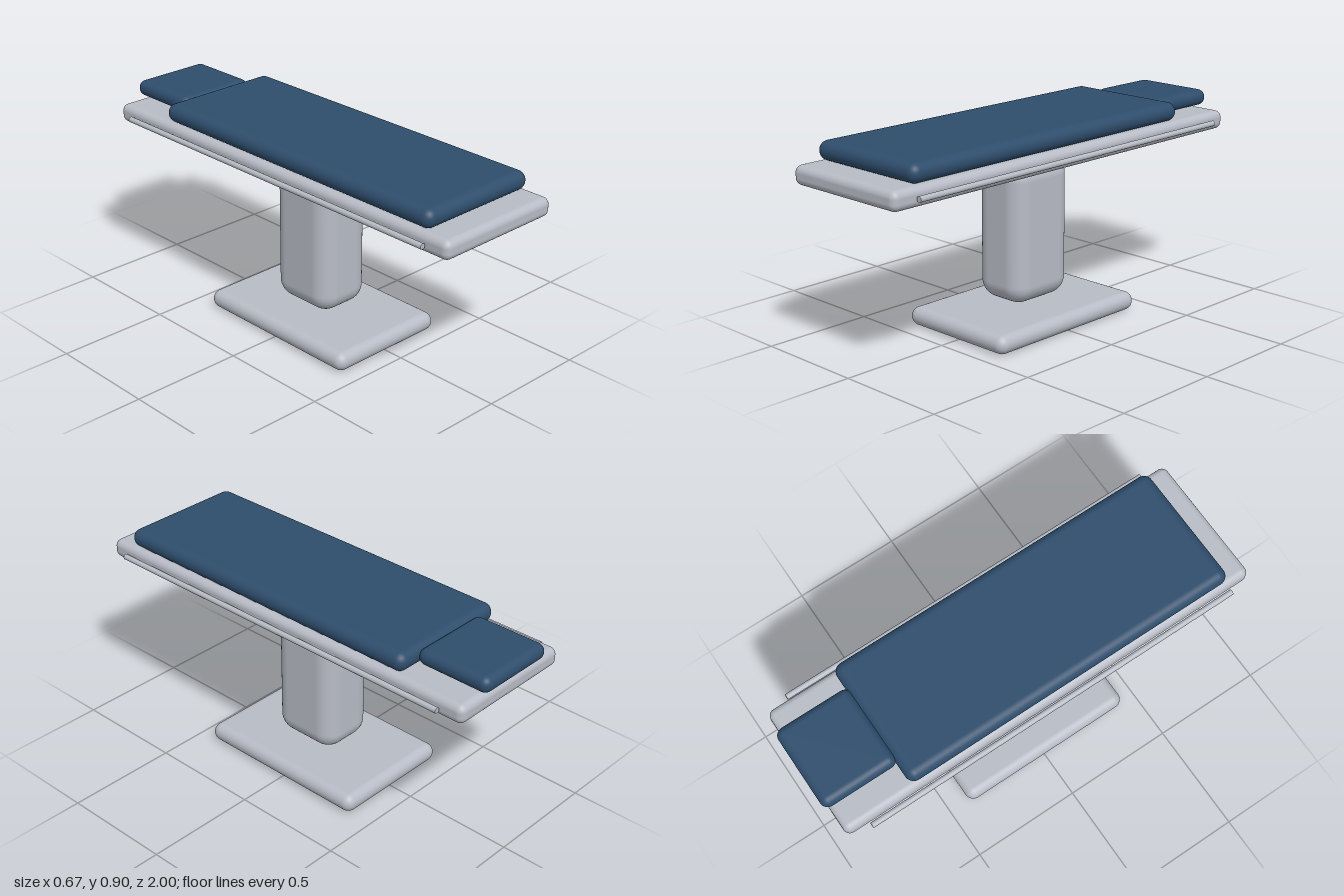
import * as THREE from 'three';
import { RoundedBoxGeometry } from 'three/addons/geometries/RoundedBoxGeometry.js';

export function createModel() {
  const model = new THREE.Group();
  model.name = 'operatingTable';

  const steel = new THREE.MeshStandardMaterial({ color: 0xb8bcc6 });
  steel.name = 'brushedSteel';
  const vinyl = new THREE.MeshStandardMaterial({ color: 0x2e4d6c });
  vinyl.name = 'blueVinyl';

  // Rounded block from its half width and its y and z limits
  function block(name, halfWidth, [y0, y1], [z0, z1], radius, material) {
    const geometry = new RoundedBoxGeometry(2 * halfWidth, y1 - y0, z1 - z0, 6, radius);
    const mesh = new THREE.Mesh(geometry, material);
    mesh.name = name;
    mesh.position.set(0, (y0 + y1) / 2, (z0 + z1) / 2);
    model.add(mesh);
  }

  // Pedestal
  block('base', 0.286, [0, 0.083], [-0.405, 0.43], 0.041, steel);
  block('column', 0.134, [0.106, 0.73], [-0.152, 0.178], 0.083, steel);

  // Table top and padding
  block('tableTop', 0.302, [0.731, 0.814], [-0.977, 1], 0.031, steel);
  block('mattress', 0.291, [0.814, 0.897], [-0.667, 0.893], 0.041, vinyl);
  block('headPad', 0.19, [0.82, 0.892], [-1, -0.655], 0.035, vinyl);

  // Accessory rails along both sides
  const railGeometry = new THREE.CylinderGeometry(0.0125, 0.0125, 1.77, 20).rotateX(Math.PI / 2);
  for (const [name, side] of [['leftRail', 1], ['rightRail', -1]]) {
    const rail = new THREE.Mesh(railGeometry, steel);
    rail.name = name;
    rail.position.set(side * 0.323, 0.773, 0.01);
    model.add(rail);
  }

  return model;
}
